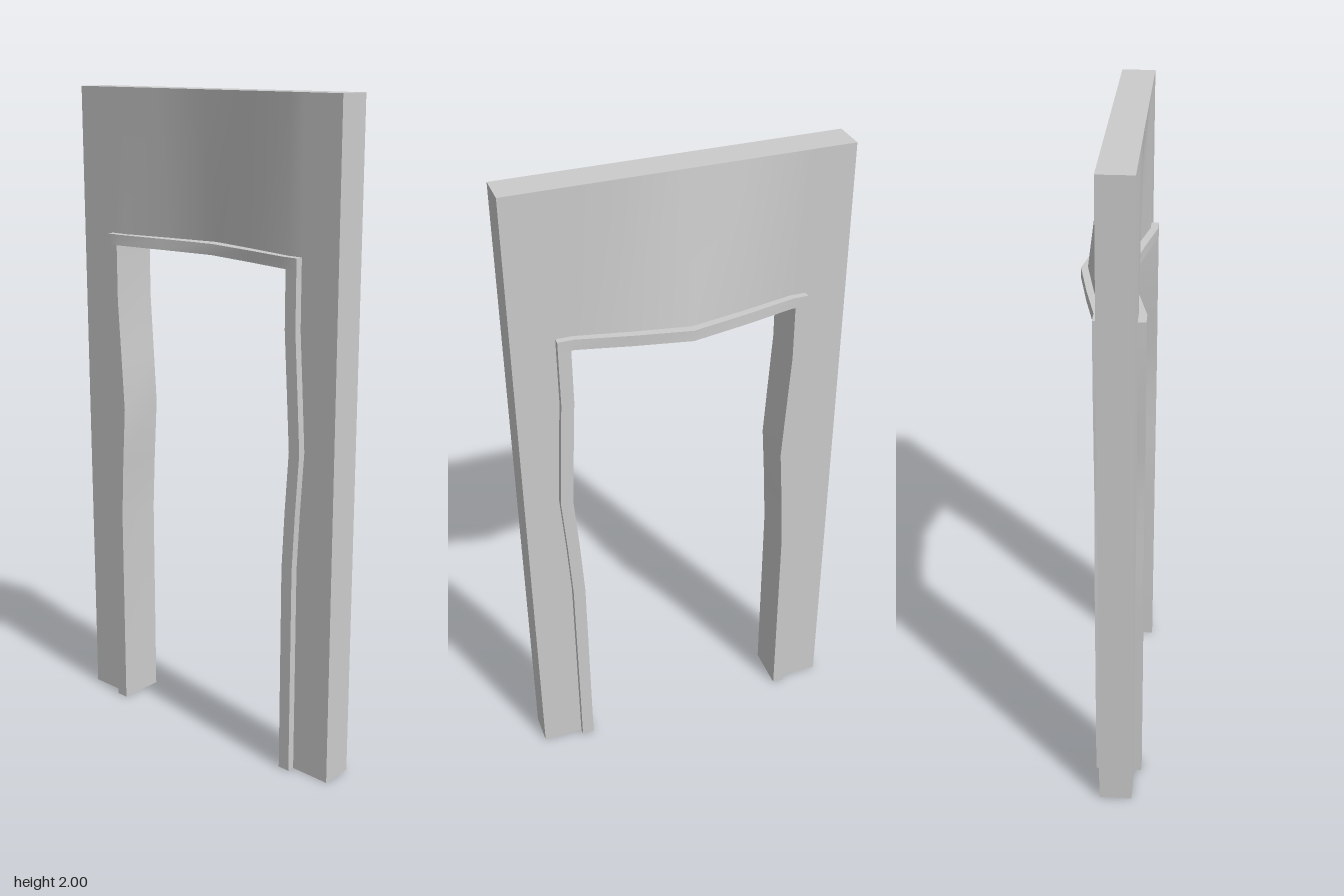
import * as THREE from 'three';
import { toCreasedNormals } from 'three/addons/utils/BufferGeometryUtils.js';

const material = new THREE.MeshStandardMaterial({ color: 0xcccccc });

// piecewise-linear lookup in a list of [position, value] pairs
function lerpTable(table, p) {
  if (p <= table[0][0]) return table[0][1];
  for (let i = 1; i < table.length; i++) {
    const [a, va] = table[i - 1], [b, vb] = table[i];
    if (p <= b) return va + ((vb - va) * (p - a)) / (b - a);
  }
  return table[table.length - 1][1];
}

// backward bow above the opening and sideways kink of the jambs
const bow = (x) => lerpTable([[0, -0.064], [0.17, -0.033], [0.325, 0]], Math.abs(x));
const kink = (y) => lerpTable([[0.65, 0], [0.83, 0.009], [1.01, 0.021], [1.18, 0.011], [1.36, 0]], y);

// box with segment lines at the given coordinates, bent by a rule
function warpedBox(name, xs, ys, zs, warp) {
  const n = [xs, ys, zs].map((a) => a.length - 1);
  const geometry = new THREE.BoxGeometry(1, 1, 1, ...n);
  const pos = geometry.attributes.position;
  const v = new THREE.Vector3();
  for (let i = 0; i < pos.count; i++) {
    v.fromBufferAttribute(pos, i).addScalar(0.5);
    v.set(
      xs[Math.round(v.x * n[0])],
      ys[Math.round(v.y * n[1])],
      zs[Math.round(v.z * n[2])]
    );
    warp(v);
    pos.setXYZ(i, v.x, v.y, v.z);
  }
  const mesh = new THREE.Mesh(toCreasedNormals(geometry, 0.5), material);
  mesh.name = name;
  return mesh;
}

export function createModel() {
  const group = new THREE.Group();
  group.name = 'doorway';

  const wallZ = [-0.02, 0.08], frameZ = [-0.04, 0.103];
  const outer = 0.373, inner = 0.335, top = 1.563, under = 1.53;
  const kinkRows = [0, 0.65, 0.83, 1.01, 1.18, 1.36];

  // wall above the opening, bowed backward along its lower edge
  group.add(warpedBox('wallHeader',
    [-0.5, -outer, -0.325, -0.17, 0, 0.17, 0.325, outer, 0.5], [top, 2], wallZ,
    (v) => { v.z += bow(v.x) * (2 - v.y) / (2 - top); }));

  // bowed lintel of the frame
  group.add(warpedBox('frameLintel',
    [-outer, -0.325, -0.17, 0, 0.17, 0.325, outer], [under, top], frameZ,
    (v) => { const b = bow(v.x); v.z += b; v.y += b * 0.05; }));

  for (const [side, s] of [['left', 1], ['right', -1]]) {
    // wall beside the opening; only its inner edge follows the kink
    group.add(warpedBox(side + 'WallPost',
      [s * outer, s * 0.5].sort((a, b) => a - b), [...kinkRows, top], wallZ,
      (v) => { if (Math.abs(v.x) < 0.45) v.x += kink(v.y); }));

    // jamb of the frame, kinked sideways at mid height
    group.add(warpedBox(side + 'FrameJamb',
      [s * inner, s * outer].sort((a, b) => a - b), [...kinkRows, under], frameZ,
      (v) => { v.x += kink(v.y); }));
  }
  return group;
}
